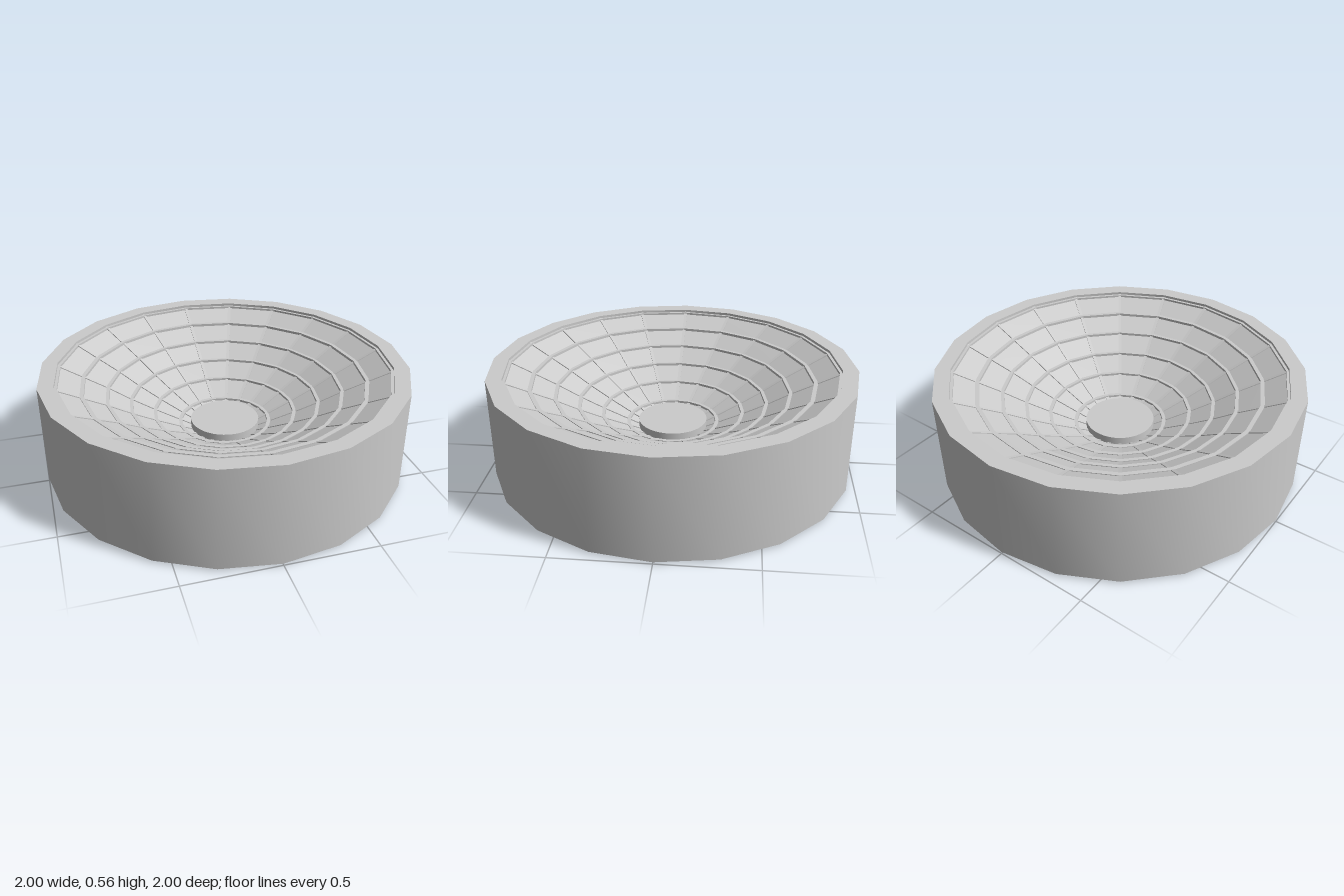
import * as THREE from 'three';
import { toCreasedNormals } from 'three/addons/utils/BufferGeometryUtils.js';

const SIDES = 20;
const TOP = 0.565;
const grey = new THREE.MeshStandardMaterial({ color: 0xcccccc });

// Bowl slope from the rim wall down to the hub: [radius, height]
const SLOPE = [
  [0.915, 0.546], [0.778, 0.48], [0.648, 0.417], [0.52, 0.347],
  [0.39, 0.284], [0.25, 0.222], [0.17, 0.188],
];

// Concentric ribs: [outer radius, inner radius]
const RINGS = [
  [0.916, 0.9], [0.79, 0.768], [0.657, 0.638], [0.53, 0.511], [0.4, 0.381], [0.26, 0.24],
];

function slopeHeight(r) {
  for (let i = 0; i < SLOPE.length - 1; i++) {
    const [r0, y0] = SLOPE[i], [r1, y1] = SLOPE[i + 1];
    if (r >= r1) return y0 + (y1 - y0) * (r0 - r) / (r0 - r1);
  }
  return SLOPE[SLOPE.length - 1][1];
}

function lathe(points, crease) {
  const profile = points.map(([r, y]) => new THREE.Vector2(r, y));
  return toCreasedNormals(new THREE.LatheGeometry(profile, SIDES), crease);
}

function add(parent, name, geometry) {
  const mesh = new THREE.Mesh(geometry, grey);
  mesh.name = name;
  parent.add(mesh);
  return mesh;
}

export function createModel() {
  const model = new THREE.Group();
  model.name = 'ribbedBowl';

  // Smooth-sided drum with a flat underside and rim
  add(model, 'drum', lathe(
    [[0, 0.01], [1, 0.01], [1, TOP], [0.915, TOP], [0.915, 0.54]], 0.5));

  // Faceted panels lining the bowl
  add(model, 'bowlPanels', lathe(SLOPE, 0.01));

  // Flat-topped concentric ribs, standing slightly proud of the panels
  const rings = new THREE.Group();
  rings.name = 'ringRibs';
  for (const [outer, inner] of RINGS) {
    const top = slopeHeight(outer) + 0.004;
    const low = slopeHeight(inner) - 0.02;
    add(rings, 'ringRib', lathe(
      [[inner, low], [outer, low], [outer, top], [inner, top], [inner, low]], 0.3));
  }
  model.add(rings);

  // Radial ribs following the slope, one on every corner of the drum
  const above = SLOPE.map(([r, y]) => new THREE.Vector2(r, y + 0.006));
  const below = SLOPE.map(([r, y]) => new THREE.Vector2(r, y - 0.02)).reverse();
  const ribGeometry = new THREE.ExtrudeGeometry(
    new THREE.Shape([...above, ...below]), { depth: 0.018, bevelEnabled: false });
  ribGeometry.translate(0, 0, -0.009);
  const spokes = new THREE.Group();
  spokes.name = 'radialRibs';
  for (let i = 0; i < SIDES; i++) {
    add(spokes, 'radialRib', ribGeometry).rotation.y = i * Math.PI * 2 / SIDES;
  }
  model.add(spokes);

  // Round hub through the middle, just showing under the base
  const hub = add(model, 'hub', new THREE.CylinderGeometry(0.19, 0.19, 0.24, 40));
  hub.position.y = 0.12;

  return model;
}
